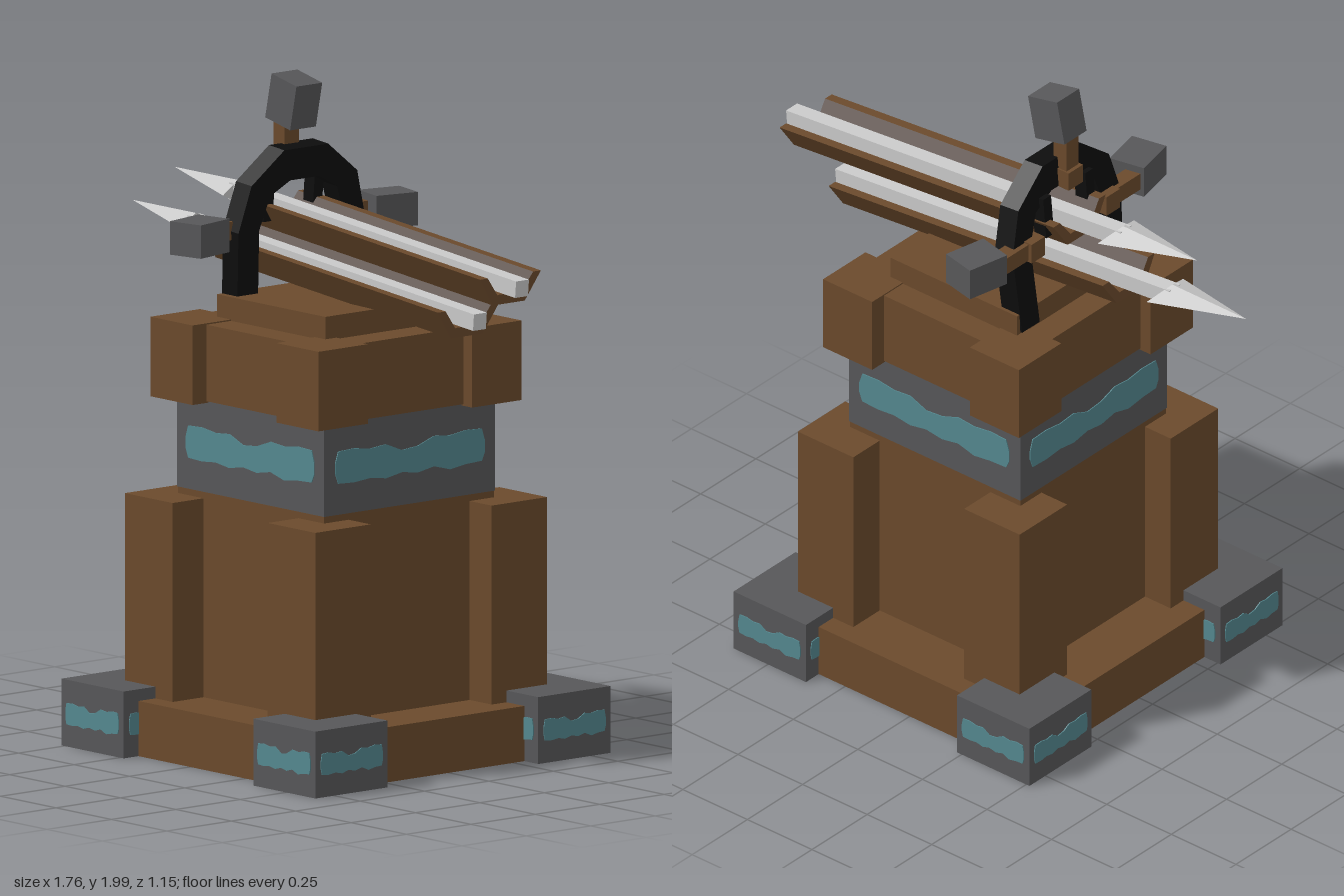
import * as THREE from 'three';

const mat = (name, color, side = THREE.FrontSide) => {
  const m = new THREE.MeshStandardMaterial({ color, side });
  m.name = name;
  return m;
};

export function createModel() {
  const wood = mat('wood', 0x6b4a2c, THREE.DoubleSide);
  const darkWood = mat('dark wood', 0x3e2716, THREE.DoubleSide);
  const stone = mat('grey stone', 0x575759, THREE.DoubleSide);
  const teal = mat('teal inlay', 0x54888f);
  const black = mat('black iron', 0x0d0d0d);
  const steel = mat('pale steel', 0xcacaca, THREE.DoubleSide);

  const model = new THREE.Group();
  model.name = 'ballistaTower';
  const add = (parent, name, geo, material, x = 0, y = 0, z = 0) => {
    const mesh = new THREE.Mesh(geo, material);
    mesh.name = name;
    mesh.position.set(x, y, z);
    parent.add(mesh);
    return mesh;
  };
  // Box given by centre x/z, bottom and top; optionally without its underside
  const block = (parent, name, material, x, z, w, d, y0, y1, open = false) => {
    const geo = new THREE.BoxGeometry(w, y1 - y0, d);
    if (open) {
      const idx = Array.from(geo.index.array);
      idx.splice(18, 6);
      geo.setIndex(idx);
      geo.clearGroups();
    }
    return add(parent, name, geo, material, x, (y0 + y1) / 2, z);
  };

  // Ragged thin plate used for the inlays
  const topWave = [0.25, 0.9, 0.95, 0.8, 0.9, 0.45, 0.55, 0.95, 0.85, 1, 0.95, 0.3];
  const lowWave = [-0.3, -0.85, -0.9, -0.8, -0.95, -0.75, -0.9, -0.7, -1, -0.85, -0.8, -0.35];
  const inlayGeo = (w, h) => {
    const n = topWave.length;
    const px = i => (i === 0 ? -0.5 : i === n - 1 ? 0.5 : -0.48 + (0.96 * (i - 1)) / (n - 3)) * w;
    const pts = topWave.map((v, i) => new THREE.Vector2(px(i), v * h / 2));
    const low = lowWave.map((v, i) => new THREE.Vector2(px(i), v * h / 2)).reverse();
    const geo = new THREE.ExtrudeGeometry(new THREE.Shape([...low, ...pts]), { depth: 0.006, bevelEnabled: false });
    return geo.translate(0, 0, -0.003);
  };
  const inlays = (name, x, y, z, half, w, h) => {
    for (let i = 0; i < 4; i++) {
      const a = i * Math.PI / 2;
      const m = add(model, name, inlayGeo(w, h), teal, x + Math.sin(a) * half, y, z + Math.cos(a) * half);
      m.rotation.y = a;
    }
  };

  // Tower
  const cx = 0.06;
  block(model, 'basePlate', wood, cx, 0, 1.02, 1.03, 0, 0.165, true);
  block(model, 'towerBody', wood, cx, 0, 0.66, 0.66, 0.165, 0.78);
  block(model, 'stoneBand', stone, cx, 0, 0.664, 0.664, 0.78, 1.055);
  inlays('bandInlay', cx, 0.92, 0, 0.332, 0.58, 0.11);
  block(model, 'towerTop', wood, cx, 0, 0.68, 0.68, 1.055, 1.284);
  block(model, 'platform', wood, 0.052, -0.005, 0.49, 0.5, 1.284, 1.355);
  for (const sx of [-1, 1]) {
    for (const sz of [-1, 1]) {
      const fx = cx + sx * 0.4325, fz = sz * 0.4325;
      block(model, 'foot', stone, fx, fz, 0.28, 0.28, 0, 0.2, true);
      inlays('footInlay', fx, 0.098, fz, 0.14, 0.24, 0.072);
      block(model, 'cornerPillar', wood, cx + sx * 0.322, sz * 0.342, 0.215, 0.215, 0.165, 0.76);
      block(model, 'cornerCap', wood, cx + sx * 0.284, sz * 0.298, 0.19, 0.192, 1.05, 1.288);
    }
  }

  // Tilted iron arch
  const half = [[0.245, 0.26], [0.205, 0.4], [0.085, 0.495]];
  const inner = [[0.055, 0.4], [0.13, 0.36], [0.165, 0.26], [0.15, 0]];
  const flip = a => a.map(([x, y]) => [-x, y]).reverse();
  const outline = [[0.23, 0], ...half, ...flip(half), [-0.23, 0], ...flip(inner), ...inner];
  const archGeo = new THREE.ExtrudeGeometry(
    new THREE.Shape(outline.map(p => new THREE.Vector2(...p))), { depth: 0.07, bevelEnabled: false });
  archGeo.translate(0, 0, -0.035).rotateY(Math.PI / 2);
  const arch = new THREE.Group();
  arch.name = 'arch';
  arch.position.set(-0.165, 1.29, -0.01);
  arch.rotation.z = -0.09;
  model.add(arch);
  add(arch, 'archFrame', archGeo, black);
  for (const s of [-1, 1]) {
    add(arch, 'archStrap', new THREE.BoxGeometry(0.045, 0.13, 0.035), black, -0.03, 0.335, s * 0.095);
  }

  // Three hammers radiating from the arch, leaning outward
  for (const a of [-Math.PI / 2, 0, Math.PI / 2]) {
    const turn = new THREE.Group();
    turn.name = 'hammer';
    turn.position.set(-0.165, 1.55, 0);
    turn.rotation.x = a;
    model.add(turn);
    const lean = new THREE.Group();
    lean.name = 'hammerLean';
    lean.position.set(0.01, 0.3, 0);
    lean.rotation.z = -0.21;
    turn.add(lean);
    block(lean, 'hammerHead', stone, 0.01, 0, 0.115, 0.1, 0, 0.138);
    block(turn, 'hammerStem', wood, 0, 0, 0.05, 0.055, 0.14, 0.31);
    block(turn, 'hammerCollar', wood, -0.01, 0, 0.055, 0.065, 0.14, 0.2);
  }

  // Trough profile [z, y]; each stretch becomes a strip along x
  const strip = (profile, len) => {
    const pos = [];
    for (let i = 0; i < profile.length - 1; i++) {
      const [z0, y0] = profile[i], [z1, y1] = profile[i + 1];
      const a = [0, y0, z0], b = [0, y1, z1], c = [len, y1, z1], d = [len, y0, z0];
      pos.push(...a, ...d, ...c, ...a, ...c, ...b);
    }
    const geo = new THREE.BufferGeometry();
    geo.setAttribute('position', new THREE.Float32BufferAttribute(pos, 3));
    geo.computeVertexNormals();
    return geo;
  };
  const railLen = 1.065;
  const railOuter = [[-0.088, 0.085], [-0.118, 0.085], [-0.062, 0], [0.062, 0], [0.118, 0.085], [0.088, 0.085]];
  const railInner = [[0.088, 0.085], [0.045, 0.027], [-0.045, 0.027], [-0.088, 0.085]];

  // Barbed arrowhead: ridge, keel and two swept wings
  const headGeo = () => {
    const tip = [-0.455, 0.062, 0], ridge = [-0.17, 0.088, 0], keel = [-0.17, 0.02, 0];
    const l = [-0.138, 0.058, 0.083], r = [-0.138, 0.058, -0.083];
    const faces = [[tip, l, ridge], [tip, ridge, r], [tip, keel, l], [tip, r, keel], [l, keel, ridge], [r, ridge, keel]];
    const geo = new THREE.BufferGeometry();
    geo.setAttribute('position', new THREE.Float32BufferAttribute(faces.flat(2), 3));
    geo.computeVertexNormals();
    return geo;
  };

  // Two loaded rails, one above the other
  for (const [name, x, y] of [['lowerBolt', -0.425, 1.41], ['upperBolt', -0.235, 1.535]]) {
    const g = new THREE.Group();
    g.name = name;
    g.position.set(x, y, -0.012);
    g.rotation.z = -0.09;
    model.add(g);
    add(g, 'rail', strip(railOuter, railLen), wood);
    add(g, 'railGroove', strip(railInner, railLen), darkWood);
    add(g, 'railFloor', new THREE.BoxGeometry(railLen, 0.004, 0.09), wood, railLen / 2, 0.028, 0);
    // End caps
    const cap = new THREE.ShapeGeometry(new THREE.Shape(
      [...railOuter, ...railInner.slice(1, 3)].map(p => new THREE.Vector2(...p)))).rotateY(Math.PI / 2);
    for (const ex of [0, railLen]) add(g, 'railEnd', cap, wood, ex, 0, 0);
    add(g, 'boltShaft', new THREE.BoxGeometry(1.3, 0.05, 0.05), steel, 0.47, 0.056, 0);
    add(g, 'boltHead', headGeo(), steel);
  }
  return model;
}
